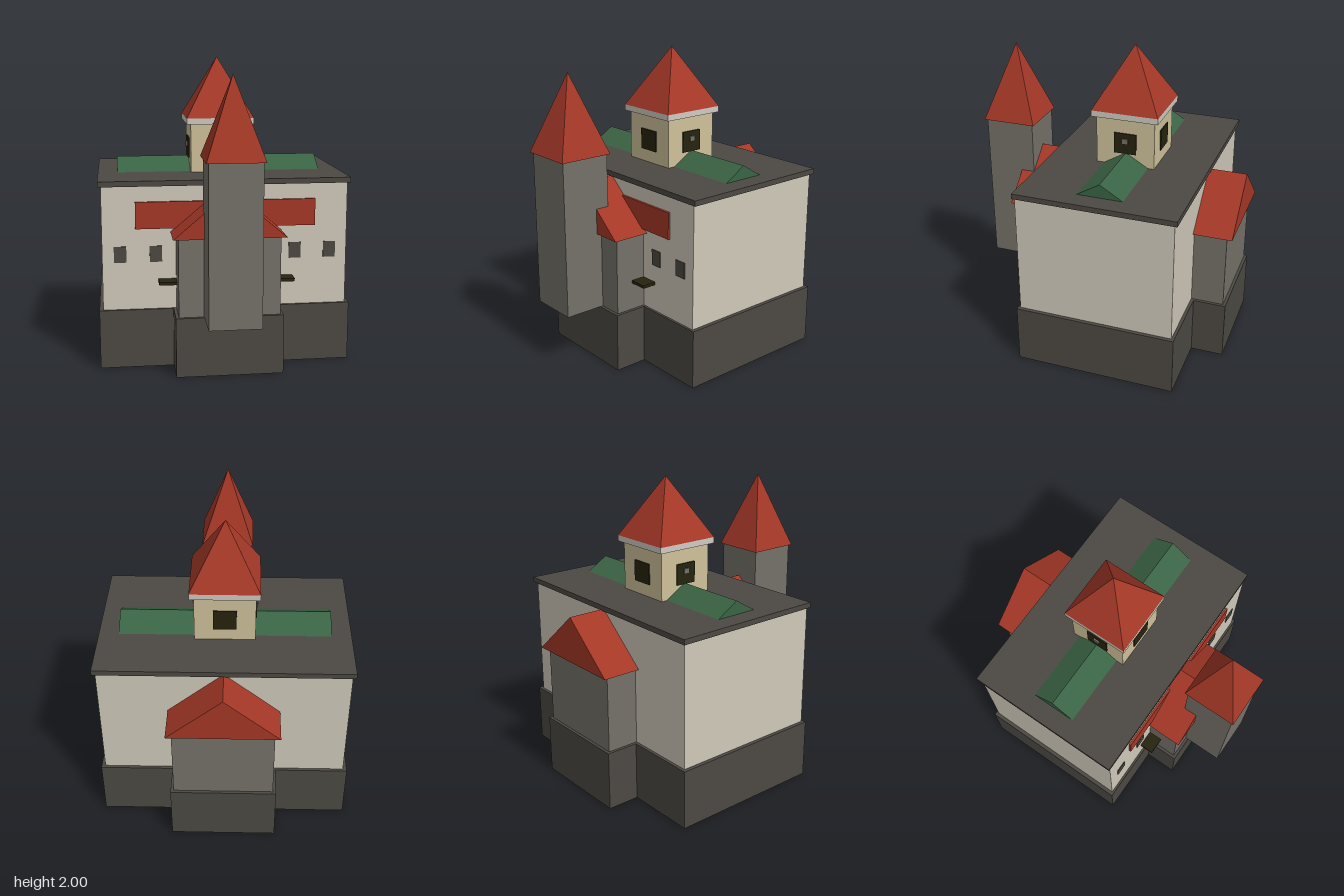
import * as THREE from 'three';

const mat = (name, color) => {
  const m = new THREE.MeshStandardMaterial({ color });
  m.name = name;
  return m;
};

export function createModel() {
  const model = new THREE.Group();
  model.name = 'castle';

  const darkStone = mat('dark stone', 0x4c4943);
  const stone = mat('grey stone', 0x757169);
  const plaster = mat('plaster', 0xd0c9ba);
  const cream = mat('cream plaster', 0xcfc19a);
  const trim = mat('pale trim', 0xd0cbc2);
  const red = mat('red tile', 0xa53827);
  const green = mat('green roof', 0x3a6445);
  const dark = mat('dark wood', 0x26230f);

  const add = (name, geometry, material) => {
    const mesh = new THREE.Mesh(geometry, material);
    mesh.name = name;
    model.add(mesh);
    return mesh;
  };
  // Box given by its bounds
  const box = (name, material, x0, x1, y0, y1, z0, z1) =>
    add(name, new THREE.BoxGeometry(x1 - x0, y1 - y0, z1 - z0), material)
      .position.set((x0 + x1) / 2, (y0 + y1) / 2, (z0 + z1) / 2);
  // Four-sided spire with flat faces
  const spire = (name, half, y0, y1, z) => {
    const g = new THREE.ConeGeometry(half * Math.SQRT2, y1 - y0, 4).rotateY(Math.PI / 4).toNonIndexed();
    g.computeVertexNormals();
    add(name, g, red).position.set(0, (y0 + y1) / 2, z);
  };
  // Gabled prism whose ridge runs along z
  const gable = (half, height, length) => {
    const s = new THREE.Shape();
    s.moveTo(-half, 0);
    s.lineTo(half, 0);
    s.lineTo(0, height);
    s.closePath();
    return new THREE.ExtrudeGeometry(s, { depth: length, bevelEnabled: false });
  };

  // Plinth
  box('mainPlinth', darkStone, -0.825, 0.825, 0, 0.39, -0.66, 0.405);
  box('frontPlinth', darkStone, -0.345, 0.345, 0, 0.39, 0.405, 0.625);
  box('backPlinth', darkStone, -0.345, 0.345, 0, 0.39, -0.875, -0.66);

  // Main block and its flat roof
  box('mainWalls', plaster, -0.8, 0.8, 0.39, 1.2, -0.64, 0.39);
  box('roofSlab', darkStone, -0.82, 0.82, 1.2, 1.235, -0.66, 0.4);
  add('ridgeRoof', gable(0.15, 0.09, 1.38).rotateY(Math.PI / 2), green).position.set(-0.69, 1.235, -0.13);

  // Front and back wings
  box('frontWing', stone, -0.325, 0.325, 0.39, 0.9, 0.39, 0.605);
  add('frontWingRoof', gable(0.36, 0.305, 0.255), red).position.set(0, 0.9, 0.385);
  box('backWing', stone, -0.325, 0.325, 0.39, 0.9, -0.855, -0.64);
  add('backWingRoof', gable(0.36, 0.305, 0.26), red).position.set(0, 0.9, -0.895);

  // Front tower
  box('frontTower', stone, -0.165, 0.165, 0.39, 1.41, 0.55, 0.88);
  spire('frontSpire', 0.18, 1.41, 1.92, 0.715);

  // Central tower
  const tz = -0.125;
  box('centralTower', cream, -0.197, 0.197, 1.235, 1.56, tz - 0.197, tz + 0.197);
  box('cornice', trim, -0.225, 0.225, 1.56, 1.6, tz - 0.225, tz + 0.225);
  spire('centralSpire', 0.225, 1.6, 2, tz);

  // Front panel on the facade
  box('facadePanel', red, -0.585, 0.585, 0.925, 1.1, 0.39, 0.405);

  for (const s of [-1, 1]) {
    // Tower openings; the side ones hold a small boss
    const sx = s * 0.201, sz = tz + s * 0.201;
    box('towerSideWindow', dark, sx - 0.0045, sx + 0.0045, 1.32, 1.46, tz - 0.075, tz + 0.075);
    box('towerWindow', dark, -0.075, 0.075, 1.32, 1.46, sz - 0.0045, sz + 0.0045);
    box('windowBoss', stone, s * 0.208 - 0.008, s * 0.208 + 0.008, 1.39, 1.425, tz - 0.02, tz + 0.02);

    // Facade windows and ledges
    for (const x of [0.455, 0.685])
      box('facadeWindow', darkStone, s * x - 0.04, s * x + 0.04, 0.705, 0.81, 0.389, 0.396);
    box('ledge', dark, s * 0.3825 - 0.0575, s * 0.3825 + 0.0575, 0.57, 0.59, 0.39, 0.485);
  }
  return model;
}
